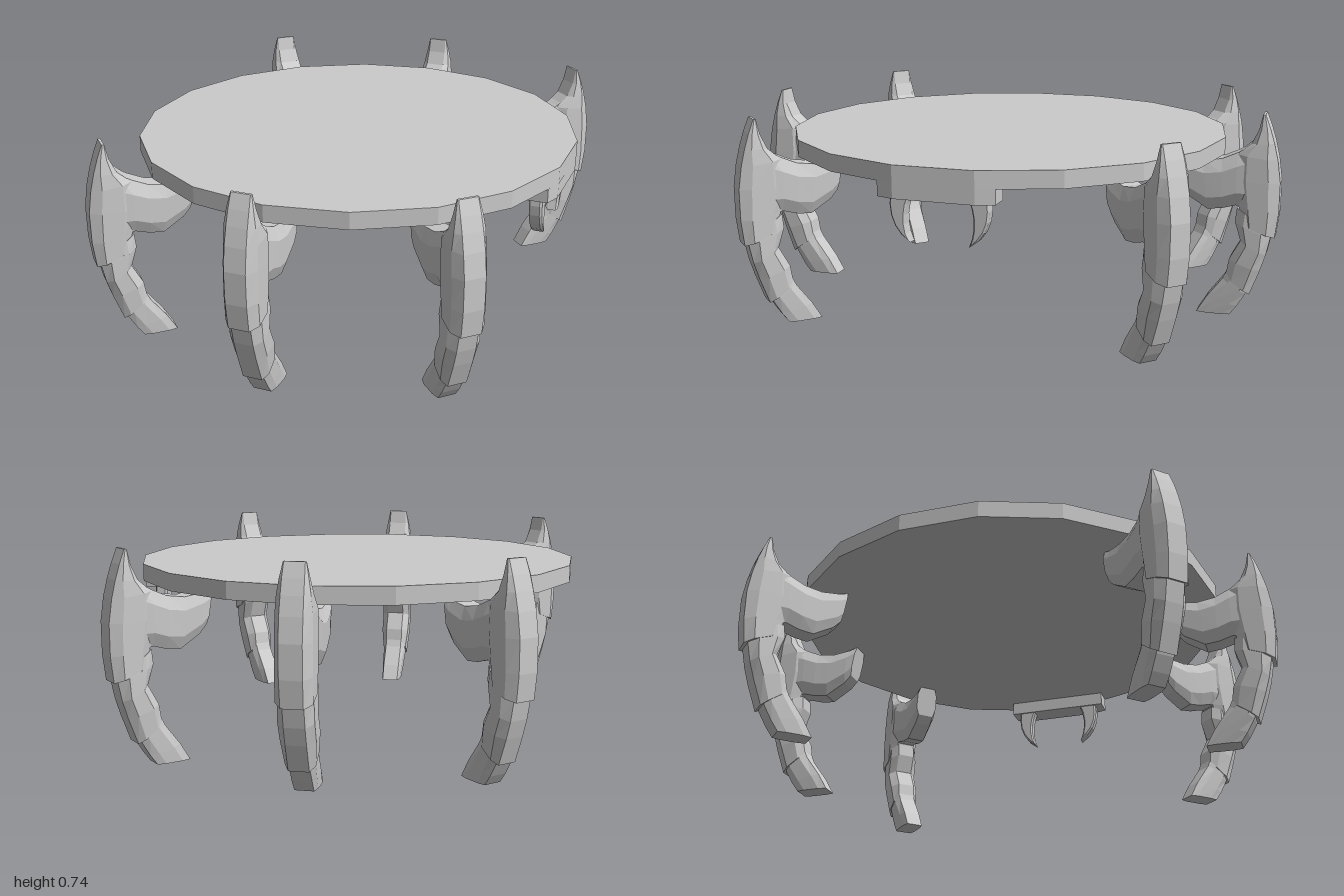
import * as THREE from 'three';

const material = new THREE.MeshStandardMaterial({ color: 0xcccccc, flatShading: true });

function part(name, geometry) {
  const mesh = new THREE.Mesh(geometry, material);
  mesh.name = name;
  return mesh;
}

// Lofts chamfered eight-sided sections. Each station is
// [z, y of first edge, z, y of second edge, half width, half width of the edge faces].
function loft(stations) {
  const positions = [];
  const rings = stations.map(([az, ay, bz, by, w, c]) =>
    [[c, 0], [w, 0.25], [w, 0.75], [c, 1], [-c, 1], [-w, 0.75], [-w, 0.25], [-c, 0]]
      .map(([x, t]) => [x, ay + (by - ay) * t, az + (bz - az) * t]));
  const tri = (a, b, c) => positions.push(...a, ...b, ...c);
  for (let i = 0; i + 1 < rings.length; i++) {
    const p = rings[i], q = rings[i + 1];
    for (let j = 0; j < 8; j++) {
      const k = (j + 1) % 8;
      tri(p[j], q[j], p[k]);
      tri(p[k], q[j], q[k]);
    }
  }
  const first = rings[0], last = rings[rings.length - 1];
  for (let j = 1; j < 7; j++) {
    tri(first[0], first[j], first[j + 1]);
    tri(last[0], last[j + 1], last[j]);
  }
  const geometry = new THREE.BufferGeometry();
  geometry.setAttribute('position', new THREE.Float32BufferAttribute(positions, 3));
  geometry.computeVertexNormals();
  return geometry;
}

// Leg pieces, pointing along +z: outer edge first, inner edge second
const upperPlate = loft([
  [0.938, 0.738, 0.929, 0.738, 0.036, 0.033],
  [0.957, 0.69, 0.918, 0.685, 0.046, 0.035],
  [0.973, 0.64, 0.895, 0.635, 0.054, 0.036],
  [0.988, 0.58, 0.85, 0.595, 0.059, 0.037],
  [1.0, 0.5, 0.845, 0.5, 0.06, 0.037],
  [1.0, 0.39, 0.86, 0.41, 0.06, 0.037],
  [0.99, 0.3, 0.875, 0.345, 0.06, 0.036],
]);
const lowerPlate = loft([
  [0.98, 0.34, 0.855, 0.4, 0.055, 0.034],
  [0.976, 0.3, 0.85, 0.35, 0.058, 0.034],
  [0.963, 0.235, 0.872, 0.28, 0.059, 0.034],
  [0.945, 0.175, 0.835, 0.21, 0.058, 0.034],
  [0.912, 0.083, 0.825, 0.145, 0.05, 0.034],
]);
const footShape = loft([
  [0.915, 0.13, 0.84, 0.19, 0.048, 0.032],
  [0.898, 0.083, 0.815, 0.135, 0.046, 0.033],
  [0.87, 0.035, 0.76, 0.06, 0.042, 0.033],
  [0.845, 0, 0.725, 0, 0.038, 0.032],
]);
// Supporting arm: lower edge first, upper edge second
const armShape = loft([
  [0.9, 0.4, 0.9, 0.63, 0.054, 0.035],
  [0.85, 0.41, 0.85, 0.6, 0.056, 0.035],
  [0.8, 0.395, 0.795, 0.575, 0.055, 0.035],
  [0.75, 0.39, 0.73, 0.565, 0.052, 0.035],
  [0.677, 0.435, 0.66, 0.575, 0.047, 0.033],
  [0.65, 0.465, 0.63, 0.586, 0.043, 0.032],
]);

function leg(name, x, z, angle) {
  const group = new THREE.Group();
  group.name = name;
  group.add(part('upperLegPlate', upperPlate), part('lowerLegPlate', lowerPlate),
    part('foot', footShape), part('supportArm', armShape));
  group.position.set(x, 0, z);
  group.rotation.y = angle;
  return group;
}

export function createModel() {
  const model = new THREE.Group();
  model.name = 'table';

  // Eighteen-sided top
  const top = part('tableTop', new THREE.CylinderGeometry(0.8, 0.8, 0.06, 18));
  top.position.y = 0.615;
  model.add(top);

  // Six legs: front, back and four diagonals
  model.add(leg('frontLeg', 0, 0, 0), leg('backLeg', 0, 0, Math.PI));
  for (const sx of [1, -1]) {
    for (const sz of [1, -1]) {
      const name = (sz > 0 ? 'front' : 'back') + (sx > 0 ? 'Left' : 'Right') + 'Leg';
      model.add(leg(name, -0.023 * sx, 0.057 * sz, Math.atan2(sx, sz)));
    }
  }

  // Bracket under the rim, following the facets of the top
  const outline = new THREE.Shape([[0.69, 0.2], [0.69, -0.2], [0.766, -0.2],
    [0.787, -0.139], [0.787, 0.139], [0.766, 0.2]].map(([x, y]) => new THREE.Vector2(x, y)));
  const bracketShape = new THREE.ExtrudeGeometry(outline, { depth: 0.052, bevelEnabled: false });
  bracketShape.rotateX(Math.PI / 2);
  const bracket = part('fangBracket', bracketShape);
  bracket.position.y = 0.586;
  model.add(bracket);

  // Pair of inward-curving fangs
  for (const s of [1, -1]) {
    const curve = new THREE.Shape();
    curve.moveTo(0.1 * s, 0.54);
    curve.lineTo(0.168 * s, 0.54);
    curve.bezierCurveTo(0.18 * s, 0.48, 0.16 * s, 0.41, 0.1 * s, 0.38);
    curve.bezierCurveTo(0.122 * s, 0.43, 0.123 * s, 0.48, 0.1 * s, 0.54);
    const shape = new THREE.ExtrudeGeometry(curve, {
      depth: 0.03, bevelThickness: 0.008, bevelSize: 0.006, bevelOffset: -0.006,
      bevelSegments: 1, curveSegments: 5,
    });
    shape.rotateY(-Math.PI / 2);
    const fang = part(s > 0 ? 'frontFang' : 'backFang', shape);
    fang.position.x = 0.734;
    model.add(fang);
  }
  return model;
}
